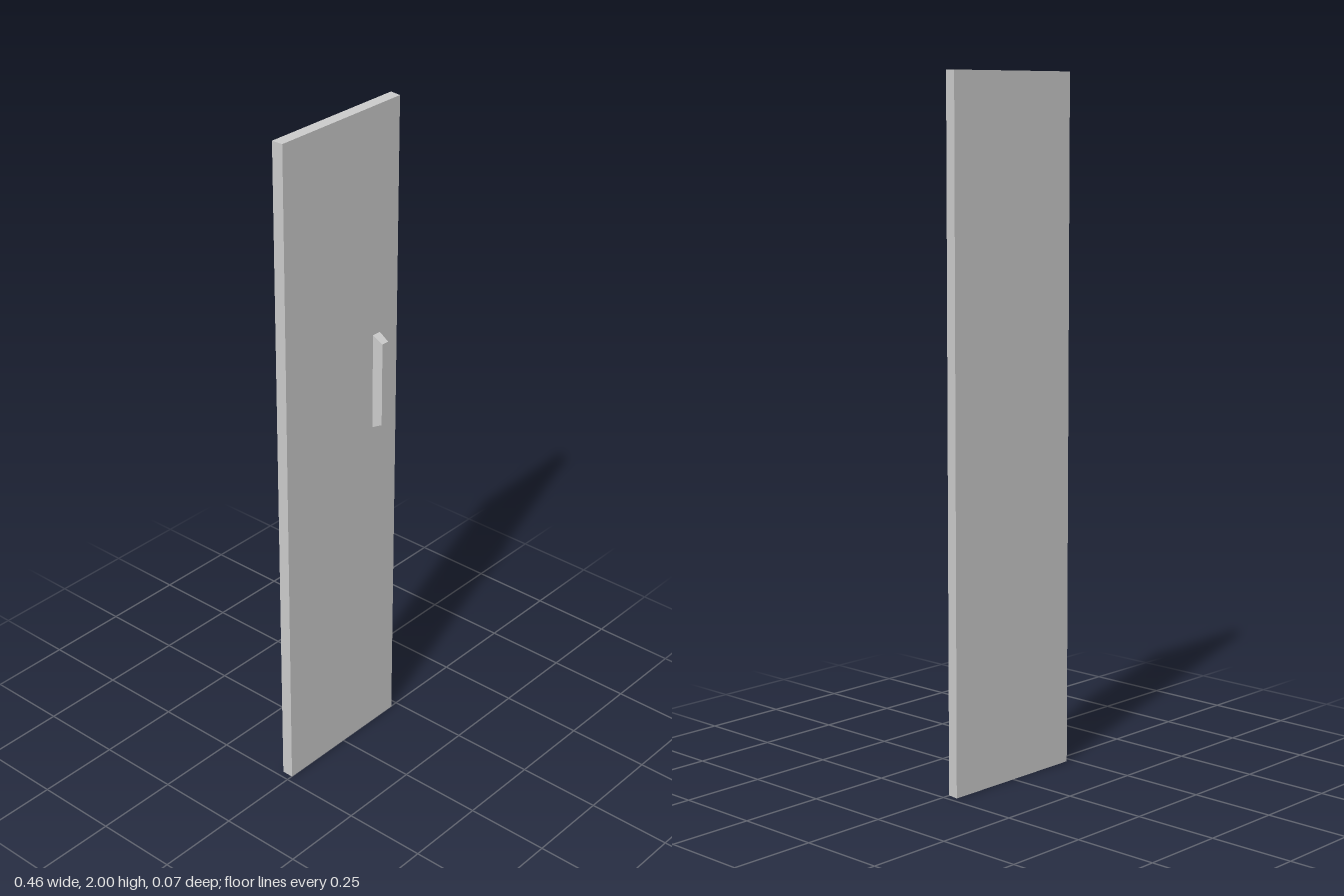
import * as THREE from 'three';

// Box from back rectangle to front rectangle, each [x0, x1, y0, y1]
function taperedBox(name, back, front, zBack, zFront, material) {
  const geometry = new THREE.BoxGeometry(1, 1, 1);
  const p = geometry.attributes.position;
  for (let i = 0; i < p.count; i++) {
    const isFront = p.getZ(i) > 0;
    const r = isFront ? front : back;
    p.setXYZ(i, p.getX(i) > 0 ? r[1] : r[0], p.getY(i) > 0 ? r[3] : r[2], isFront ? zFront : zBack);
  }
  geometry.computeVertexNormals();
  const mesh = new THREE.Mesh(geometry, material);
  mesh.name = name;
  return mesh;
}

export function createModel() {
  const model = new THREE.Group();
  model.name = 'door';
  const grey = new THREE.MeshStandardMaterial({ color: 0xcccccc, flatShading: true });

  // Door leaf, bevelled along its opening edge
  model.add(taperedBox('doorPanel', [-0.231, 0.231, 0, 2], [-0.231, 0.226, 0, 2], -0.034, 0.001, grey));

  // Pull handle, tapering towards the front
  model.add(taperedBox('handle', [0.124, 0.153, 1.04, 1.331], [0.127, 0.151, 1.057, 1.312], 0.001, 0.033, grey));

  return model;
}
